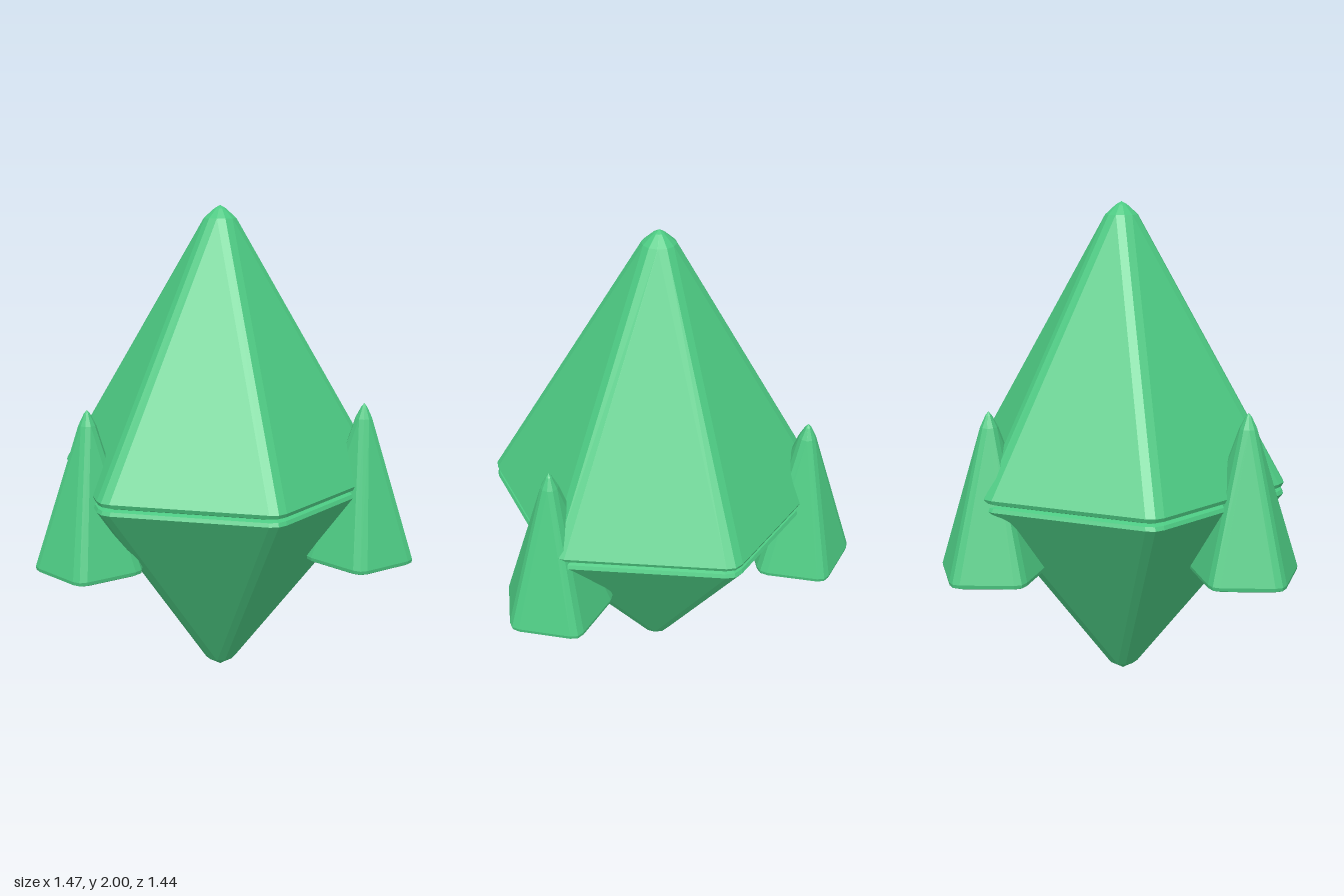
import * as THREE from 'three';

// Regular polygon of given apothem with each corner softened into two facets.
function softPolygon(sides, apothem, bevel) {
  const radius = apothem / Math.cos(Math.PI / sides);
  const edge = 2 * radius * Math.sin(Math.PI / sides);
  const cut = Math.min(bevel / edge, 0.49);
  const corner = (k) => {
    const a = Math.PI + (k * 2 * Math.PI) / sides;
    return new THREE.Vector2(Math.sin(a) * radius, Math.cos(a) * radius);
  };
  const points = [];
  for (let k = 0; k < sides; k++) {
    const c = corner(k);
    const before = c.clone().lerp(corner(k - 1), cut);
    const after = c.clone().lerp(corner(k + 1), cut);
    const middle = before.clone().add(after).multiplyScalar(0.5).lerp(c, 0.5);
    points.push(before, middle, after);
  }
  return points;
}

// Stack of softened polygons; profile rows are [apothem, y] from bottom to top.
function crystalGeometry(sides, bevel, profile) {
  const count = sides * 3;
  const rings = profile.map(([apothem, y]) =>
    apothem === 0
      ? Array.from({ length: count }, () => [0, y, 0])
      : softPolygon(sides, apothem, bevel).map((p) => [p.x, y, p.y]));
  const positions = [];
  for (let r = 0; r < rings.length - 1; r++) {
    const low = rings[r];
    const high = rings[r + 1];
    for (let i = 0; i < count; i++) {
      const j = (i + 1) % count;
      if (profile[r][0] > 0) positions.push(...low[i], ...low[j], ...high[j]);
      if (profile[r + 1][0] > 0) positions.push(...low[i], ...high[j], ...high[i]);
      else if (profile[r][0] > 0) continue;
    }
  }
  const geometry = new THREE.BufferGeometry();
  geometry.setAttribute('position', new THREE.Float32BufferAttribute(positions, 3));
  geometry.computeVertexNormals();
  return geometry;
}

export function createModel() {
  const group = new THREE.Group();
  const green = new THREE.MeshStandardMaterial({ color: 0x4cc982, flatShading: true });
  green.name = 'emerald green';

  const add = (name, geometry, x, z) => {
    const mesh = new THREE.Mesh(geometry, green);
    mesh.name = name;
    mesh.position.set(x, 0, z);
    group.add(mesh);
  };

  // Large six-sided crystal: two pyramids meeting at a fine groove
  add('upperCrystal', crystalGeometry(6, 0.04, [
    [0, 0.901], [0.575, 0.901], [0.591, 0.908], [0.597, 0.924],
    [0.065, 1.95], [0.022, 1.988], [0, 2],
  ]), -0.037, -0.043);
  add('lowerCrystal', crystalGeometry(6, 0.04, [
    [0, 0], [0.022, 0.016], [0.065, 0.045],
    [0.597, 0.878], [0.591, 0.893], [0.575, 0.899], [0, 0.899],
  ]), -0.037, -0.043);

  // Small five-sided shards growing out of the sides
  const shard = crystalGeometry(5, 0.035, [
    [0, 0.59], [0.178, 0.59], [0.188, 0.596], [0.19, 0.61],
    [0.034, 1.18], [0.012, 1.225], [0, 1.24],
  ]);
  add('frontShard', shard, -0.22, 0.53);
  add('backLeftShard', shard, 0.52, -0.28);
  add('backRightShard', shard, -0.52, -0.405);

  return group;
}
